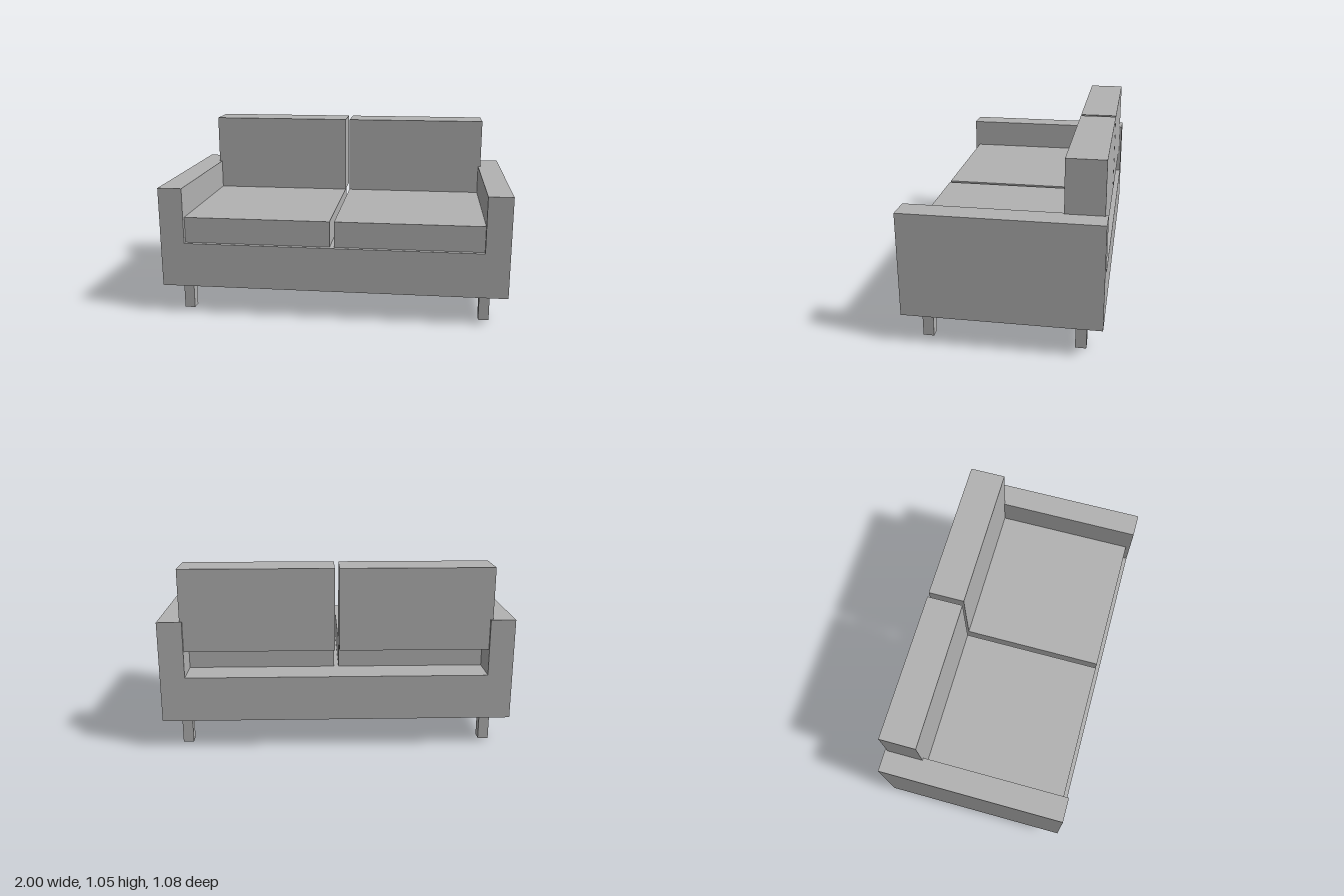
import * as THREE from 'three';

export function createModel() {
  const sofa = new THREE.Group();
  sofa.name = 'sofa';
  const grey = new THREE.MeshStandardMaterial({ color: 0xb2b2b2 });
  grey.name = 'grey';

  const add = (name, geometry) => {
    const mesh = new THREE.Mesh(geometry, grey);
    mesh.name = name;
    sofa.add(mesh);
    return mesh;
  };
  // Box given by its lower and upper corners
  const box = (name, [x0, y0, z0], [x1, y1, z1]) =>
    add(name, new THREE.BoxGeometry(x1 - x0, y1 - y0, z1 - z0))
      .position.set((x0 + x1) / 2, (y0 + y1) / 2, (z0 + z1) / 2);

  // Base and arms: one U-shaped section running the full depth
  const depth = 1.08;
  const section = new THREE.Shape([
    [-1, 0.17], [1, 0.17], [1, 0.755], [0.86, 0.755],
    [0.86, 0.43], [-0.86, 0.43], [-0.86, 0.755], [-1, 0.755],
  ].map(([x, y]) => new THREE.Vector2(x, y)));
  add('baseAndArms', new THREE.ExtrudeGeometry(section, { depth, bevelEnabled: false }))
    .position.z = -depth / 2;

  for (const [side, s] of [['left', 1], ['right', -1]]) {
    // Cushions, with a narrow gap at the middle
    const span = (outer) => (s > 0 ? [0.013, outer] : [-outer, -0.013]);
    const [a, b] = span(0.86);
    box(side + 'SeatCushion', [a, 0.43, -0.355], [b, 0.58, 0.515]);
    const [c, d] = span(0.875);
    box(side + 'BackCushion', [c, 0.58, -0.525], [d, 1.05, -0.315]);

    // Square legs
    for (const [end, z] of [['Front', 0.42], ['Back', -0.42]]) {
      const x = s * 0.875;
      box(side + end + 'Leg', [x - 0.03, 0, z - 0.03], [x + 0.03, 0.17, z + 0.03]);
    }
  }
  return sofa;
}
